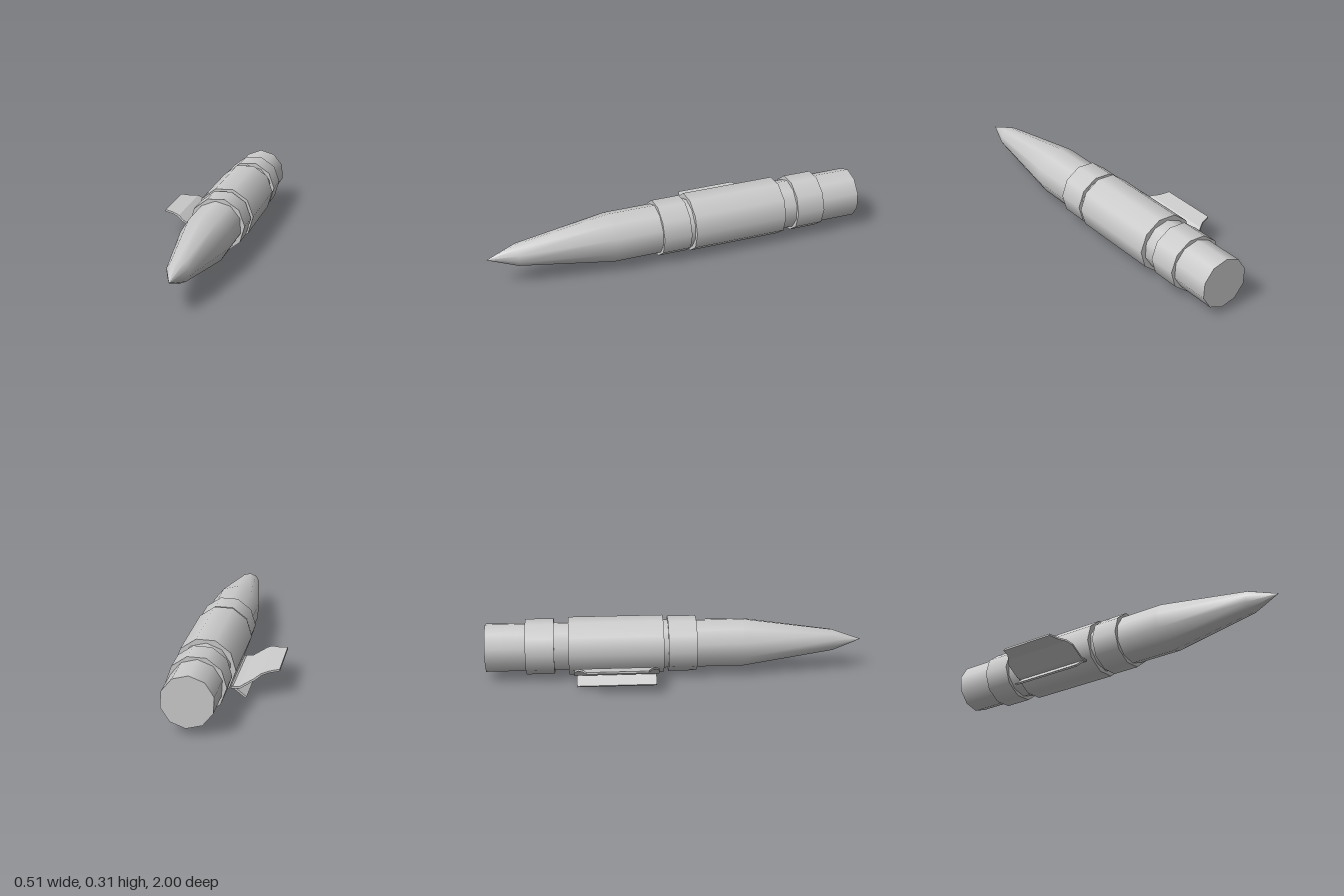
import * as THREE from 'three';

const SIDES = 10;
const CX = 0.1, CY = 0.162; // main axis of the body
const rad = THREE.MathUtils.degToRad;

export function createModel() {
  const group = new THREE.Group();
  const smooth = new THREE.MeshStandardMaterial({ color: 0xcccccc });
  const flat = new THREE.MeshStandardMaterial({ color: 0xcccccc, flatShading: true });

  const add = (name, geometry, material, x = 0, y = 0, z = 0) => {
    const mesh = new THREE.Mesh(geometry, material);
    mesh.name = name;
    mesh.position.set(x, y, z);
    group.add(mesh);
    return mesh;
  };

  // Body with pointed nose, turned along z
  const bodyAngle = 21.5;
  const profile = [[0.13, -1], [0.13, 0.36], [0.058, 0.845], [0, 1]]
    .map(([r, z]) => new THREE.Vector2(r, z));
  const body = new THREE.LatheGeometry(profile, SIDES, rad(bodyAngle + 90));
  body.rotateX(Math.PI / 2);
  add('body', body, smooth, CX, CY);

  // Flat tail end
  const tail = new THREE.CircleGeometry(0.13, SIDES, rad(180 - bodyAngle));
  tail.rotateY(Math.PI);
  add('tailCap', tail, smooth, CX, CY, -1);

  // Sleeves around the body
  const sleeves = [
    ['frontBand', 0.147, -0.04, 0.11],
    ['middleSleeve', 0.153, -0.565, -0.065],
    ['rearBand', 0.147, -0.79, -0.64],
  ];
  for (const [name, r, z0, z1] of sleeves) {
    const geo = new THREE.CylinderGeometry(r, r, z1 - z0, SIDES, 1, false, rad(92));
    geo.rotateX(Math.PI / 2);
    add(name, geo, smooth, CX, CY, (z0 + z1) / 2);
  }

  // Plate bent along stations of [x, y, half length]
  const plate = (name, stations, thickness, zMid) => {
    const n = stations.length - 1;
    const geo = new THREE.BoxGeometry(1, 1, 1, n, 1, 1);
    const p = geo.attributes.position;
    for (let i = 0; i < p.count; i++) {
      const k = Math.round((p.getX(i) + 0.5) * n);
      const [x, y, half] = stations[k];
      const a = stations[Math.max(k - 1, 0)], b = stations[Math.min(k + 1, n)];
      const dx = b[0] - a[0], dy = b[1] - a[1], len = Math.hypot(dx, dy);
      const t = p.getY(i) * thickness;
      p.setXYZ(i, x - dy / len * t, y + dx / len * t, p.getZ(i) * 2 * half);
    }
    geo.computeVertexNormals();
    add(name, geo, flat, 0, 0, zMid);
  };

  // Bent outer fin with tapered tip, and the straight lower fin
  plate('bentFin', [
    [-0.254, 0.138, 0.158], [-0.205, 0.131, 0.173], [-0.168, 0.125, 0.2],
    [-0.14, 0.107, 0.22], [-0.067, 0.06, 0.22], [-0.022, 0.056, 0.22],
  ], 0.01, -0.315);
  plate('lowerFin', [[-0.095, 0.004, 0.208], [-0.02, 0.064, 0.208]], 0.01, -0.315);

  return group;
}
